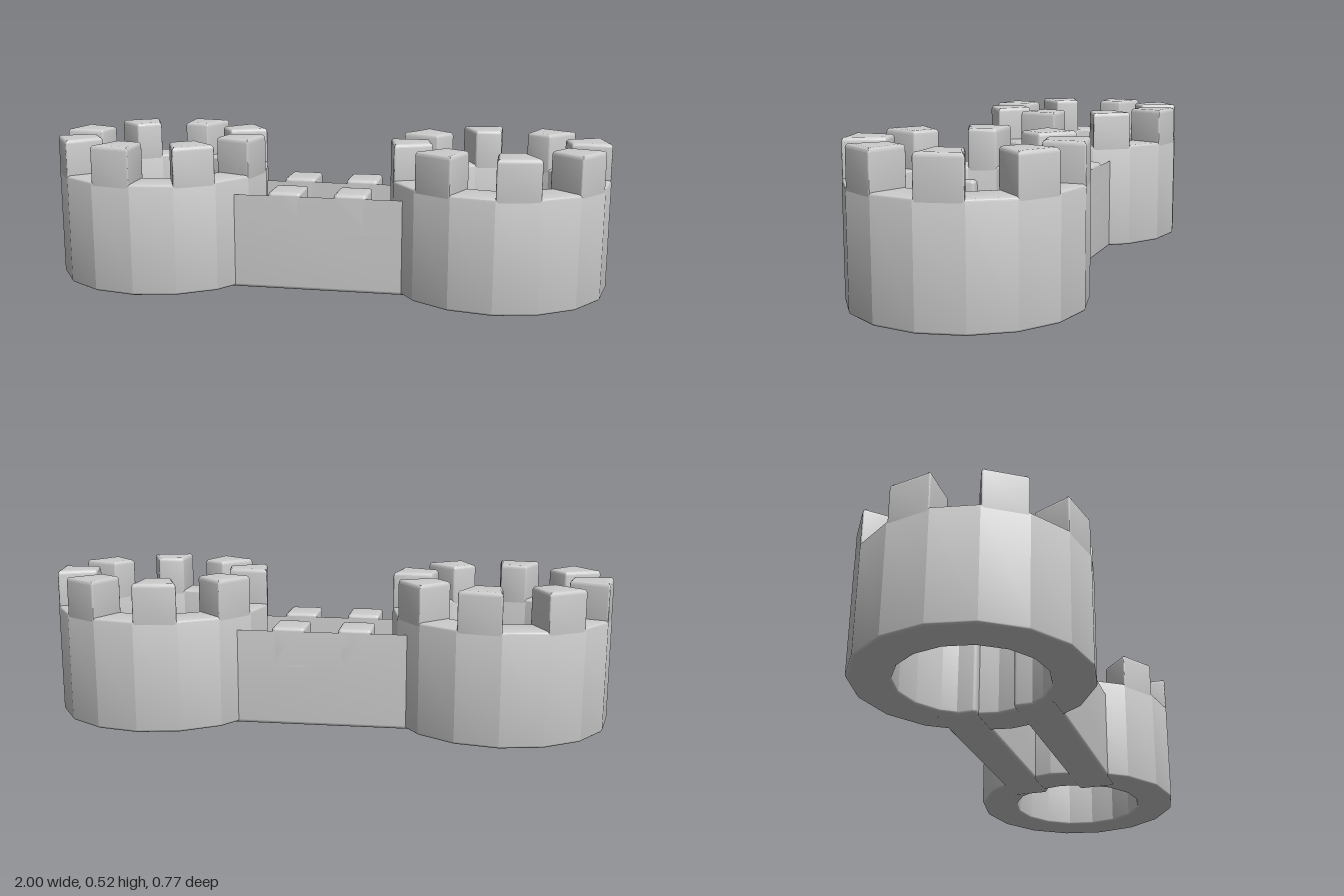
import * as THREE from 'three';
import { toCreasedNormals } from 'three/addons/utils/BufferGeometryUtils.js';

const BEVEL = 0.013;
const CREASE = 0.36;
const SIDES = 16, STEP = (Math.PI * 2) / SIDES;
const OUTER = 0.385, INNER = 0.245;
const FLOOR = 0.394, TOP = 0.521, TOWER_X = 0.615;

const material = new THREE.MeshStandardMaterial({ color: 0xcccccc });

// Closed polygon with every corner softened by radius r
function softShape(corners, r) {
  const pts = corners.map(([x, y]) => new THREE.Vector2(x, y));
  const shape = new THREE.Shape();
  pts.forEach((p, i) => {
    const prev = pts[(i + pts.length - 1) % pts.length];
    const next = pts[(i + 1) % pts.length];
    const a = prev.clone().sub(p).setLength(r).add(p);
    const b = next.clone().sub(p).setLength(r).add(p);
    if (i === 0) shape.moveTo(a.x, a.y);
    else shape.lineTo(a.x, a.y);
    shape.quadraticCurveTo(p.x, p.y, b.x, b.y);
  });
  shape.closePath();
  return shape;
}

// Extrusion of exact total depth whose outline keeps its size
function softExtrude(shape, depth) {
  const geo = new THREE.ExtrudeGeometry(shape, {
    depth: depth - 2 * BEVEL, curveSegments: 6,
    bevelThickness: BEVEL, bevelSize: BEVEL, bevelOffset: -BEVEL, bevelSegments: 5,
  });
  geo.translate(0, 0, BEVEL);
  return toCreasedNormals(geo, CREASE);
}

function addMesh(parent, geo, name) {
  const mesh = new THREE.Mesh(geo, material);
  mesh.name = name;
  parent.add(mesh);
  return mesh;
}

// Sixteen-sided ring wall with a merlon on every other side
function makeTower(side) {
  const tower = new THREE.Group();
  tower.name = side > 0 ? 'leftTower' : 'rightTower';
  tower.position.x = side * TOWER_X;

  const profile = softShape(
    [[INNER, 0.003], [OUTER, 0.003], [OUTER, FLOOR], [INNER, FLOOR]], BEVEL
  ).getPoints(6);
  if (!profile[0].equals(profile[profile.length - 1])) profile.push(profile[0].clone());
  addMesh(tower, toCreasedNormals(new THREE.LatheGeometry(profile, SIDES), CREASE), 'towerWall');

  // Wedge covering one side of the ring, mirrored between the towers
  const a = side > 0 ? 0 : -STEP, b = a + STEP;
  const at = (r, t) => [r * Math.cos(t), r * Math.sin(t)];
  const wedge = softShape([at(INNER, a), at(OUTER, a), at(OUTER, b), at(INNER, b)], 0.008);
  const base = FLOOR - 2 * BEVEL;
  const merlon = softExtrude(wedge, TOP - base);
  merlon.rotateX(-Math.PI / 2);
  for (let i = 0; i < SIDES / 2; i++) {
    const mesh = addMesh(tower, merlon, 'towerMerlon');
    mesh.position.y = base;
    mesh.rotation.y = i * 2 * STEP;
  }
  return tower;
}

// Crenellated connecting wall, its ends running into the towers
function makeBridgeWall(side) {
  const low = 0.224, high = 0.35, end = 0.412;
  const corners = [[-end, 0], [end, 0]];
  for (const [x0, x1] of [[0.29, end], [0.057, 0.175], [-0.175, -0.057], [-end, -0.29]]) {
    if (x1 < end) corners.push([x1, low]);
    corners.push([x1, high], [x0, high]);
    if (x0 > -end) corners.push([x0, low]);
  }
  const depth = 0.14;
  const geo = softExtrude(softShape(corners, 0.015), depth);
  geo.translate(0, 0, -depth / 2);
  const mesh = new THREE.Mesh(geo, material);
  mesh.name = side > 0 ? 'frontBridgeWall' : 'backBridgeWall';
  mesh.position.z = side * 0.134;
  return mesh;
}

export function createModel() {
  const model = new THREE.Group();
  model.name = 'twinTowerBridge';
  for (const side of [1, -1]) model.add(makeTower(side), makeBridgeWall(side));
  return model;
}
